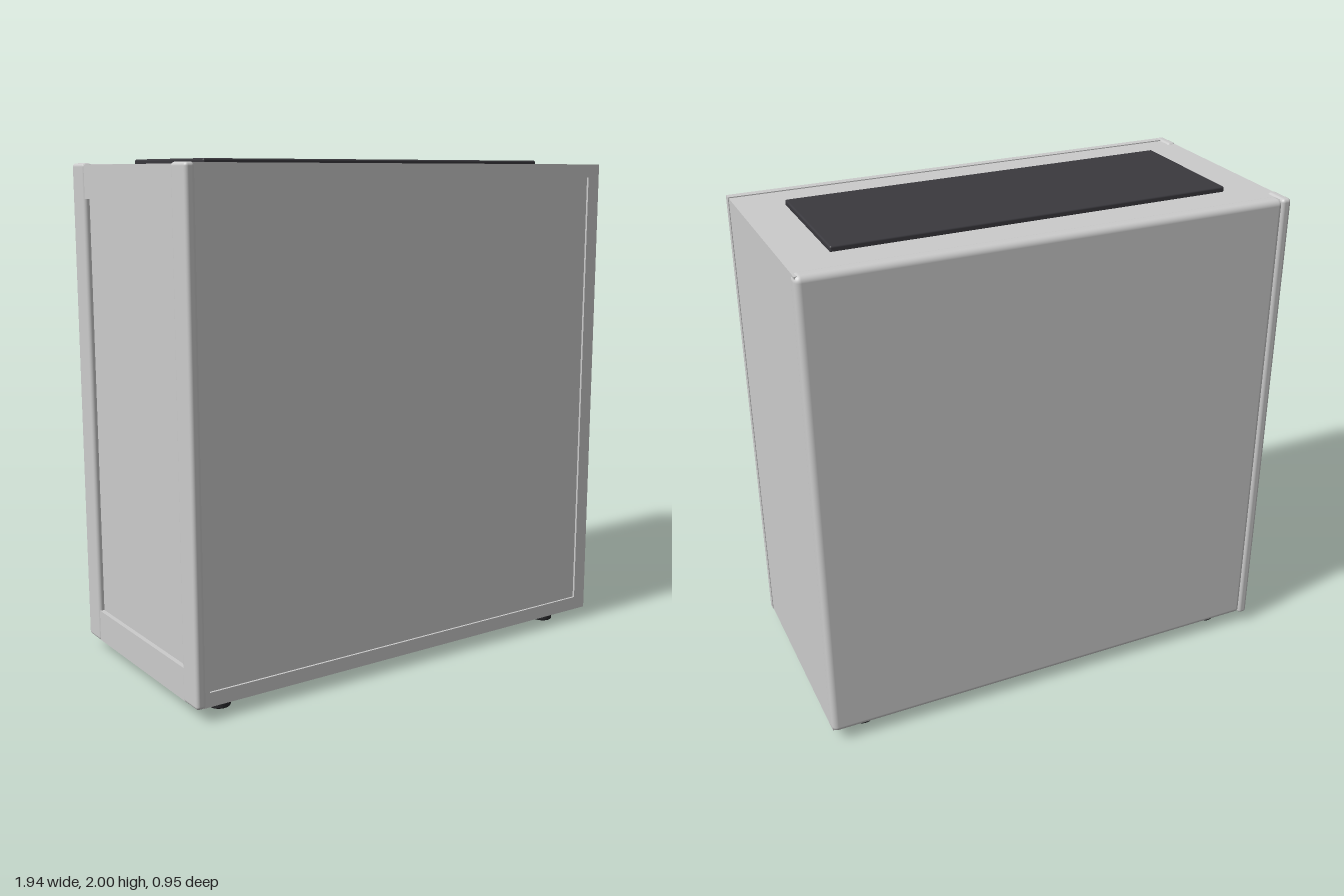
import * as THREE from 'three';
import { RoundedBoxGeometry } from 'three/addons/geometries/RoundedBoxGeometry.js';

const grey = new THREE.MeshStandardMaterial({ color: 0xcccccc });
const meshDark = new THREE.MeshStandardMaterial({ color: 0x3a393e });
const rubber = new THREE.MeshStandardMaterial({ color: 0x2a2a2d });

export function createModel() {
  const model = new THREE.Group();

  function add(name, geometry, material = grey) {
    const mesh = new THREE.Mesh(geometry, material);
    mesh.name = name;
    model.add(mesh);
    return mesh;
  }

  // Box given by its min and max corners, optionally rounded
  function block(name, [x0, y0, z0], [x1, y1, z1], radius = 0, material = grey) {
    const size = [x1 - x0, y1 - y0, z1 - z0];
    const geometry = radius
      ? new RoundedBoxGeometry(...size, 4, radius)
      : new THREE.BoxGeometry(...size);
    geometry.translate((x0 + x1) / 2, (y0 + y1) / 2, (z0 + z1) / 2);
    return add(name, geometry, material);
  }

  // Main cabinet and the rounded panel closing its back
  block('cabinet', [-0.95, 0.053, -0.45], [0.966, 1.98, 0.437]);
  block('backPanel', [-0.945, 0.05, -0.467], [0.969, 1.983, -0.4], 0.024);

  // Front frame with a rectangular opening, and the panel set into it
  const frame = new THREE.Shape([
    new THREE.Vector2(-0.94, 0.05), new THREE.Vector2(0.969, 0.05),
    new THREE.Vector2(0.969, 1.984), new THREE.Vector2(-0.94, 1.984),
  ]);
  frame.holes.push(new THREE.Path([
    new THREE.Vector2(-0.915, 0.105), new THREE.Vector2(-0.915, 1.93),
    new THREE.Vector2(0.91, 1.93), new THREE.Vector2(0.91, 0.105),
  ]));
  const frameGeometry = new THREE.ExtrudeGeometry(frame, { depth: 0.032, bevelEnabled: false });
  add('frontFrame', frameGeometry.translate(0, 0, 0.435));
  block('frontPanel', [-0.92, 0.1, 0.43], [0.915, 1.935, 0.458]);

  // Side bezel: two rounded posts joined by rails around the recessed side face
  for (const s of [1, -1]) {
    const z = [s * 0.475, s * 0.365].sort((a, b) => a - b);
    block(s > 0 ? 'frontPost' : 'backPost', [-0.972, 0.05, z[0]], [-0.932, 1.986, z[1]], 0.014);
  }
  block('topRail', [-0.968, 1.85, -0.38], [-0.94, 1.98, 0.38]);
  block('bottomRail', [-0.968, 0.053, -0.38], [-0.94, 0.18, 0.38]);

  // Dark ventilation filter on the top
  block('topFilter', [-0.795, 1.975, -0.28], [0.79, 2, 0.275], 0.007, meshDark);

  // Four round feet
  const footProfile = [[0, 0], [0.039, 0], [0.042, 0.004], [0.042, 0.055], [0, 0.055]]
    .map(([r, y]) => new THREE.Vector2(r, y));
  const footGeometry = new THREE.LatheGeometry(footProfile, 32).toNonIndexed();
  footGeometry.computeVertexNormals();
  for (const x of [-0.82, 0.815]) {
    for (const z of [-0.365, 0.365]) add('foot', footGeometry, rubber).position.set(x, 0, z);
  }

  return model;
}
